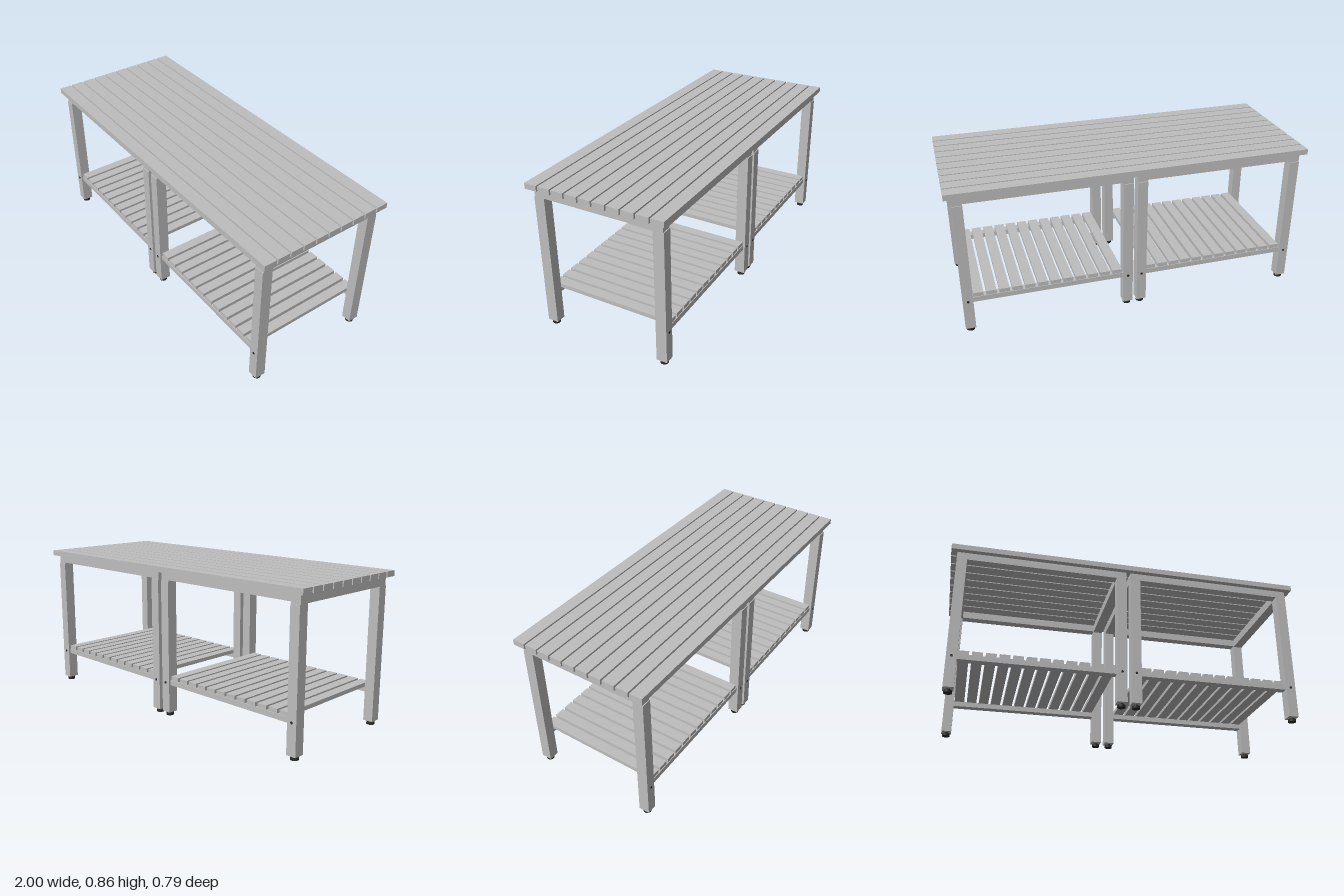
import * as THREE from 'three';

const steel = new THREE.MeshStandardMaterial({ color: 0xbebebe });
steel.name = 'lightGrey';
const rubber = new THREE.MeshStandardMaterial({ color: 0x2a2a2a });
rubber.name = 'blackRubber';

// Box given by its extents on each axis
function block(parent, name, [x0, x1], [y0, y1], [z0, z1], material = steel) {
  const mesh = new THREE.Mesh(new THREE.BoxGeometry(x1 - x0, y1 - y0, z1 - z0), material);
  mesh.position.set((x0 + x1) / 2, (y0 + y1) / 2, (z0 + z1) / 2);
  mesh.name = name;
  parent.add(mesh);
}

function disc(parent, name, radius, height, x, y, z, sides = 24) {
  const mesh = new THREE.Mesh(new THREE.CylinderGeometry(radius, radius, height, sides), rubber);
  mesh.position.set(x, y, z);
  mesh.name = name;
  parent.add(mesh);
  return mesh;
}

// Square leg with its levelling foot and the bolt holding the shelf rail
function addLeg(parent, x, side) {
  const leg = new THREE.Group();
  leg.name = 'leg';
  const z = side * 0.34;
  block(leg, 'legPost', [x - 0.028, x + 0.028], [0.023, 0.775], [z - 0.03, z + 0.03]);
  disc(leg, 'footPad', 0.022, 0.014, x, 0.007, z);
  disc(leg, 'footStem', 0.011, 0.012, x, 0.019, z, 12);
  disc(leg, 'bolt', 0.007, 0.003, x, 0.197, side * 0.371, 12).rotation.x = Math.PI / 2;
  parent.add(leg);
}

// One bay spanning x = 0.01 to 0.967
function addBay(parent, name, centre) {
  const bay = new THREE.Group();
  bay.name = name;
  bay.position.x = centre;
  const outer = 0.477, legX = 0.449, inner = 0.421;

  for (const side of [-1, 1]) {
    for (const end of [-1, 1]) addLeg(bay, end * legX, side);
    // Long rails under the top and under the shelf
    const zTop = side * 0.34, zShelf = side * 0.337;
    block(bay, 'topLongRail', [-inner, inner], [0.783, 0.825], [zTop - 0.025, zTop + 0.025]);
    block(bay, 'shelfRail', [-inner, inner], [0.185, 0.214], [zShelf - 0.022, zShelf + 0.022]);
    // Cross rails resting on the legs
    const xs = side * legX;
    block(bay, 'topCrossRail', [xs - 0.028, xs + 0.028], [0.775, 0.825], [-0.365, 0.365]);
  }

  // Shelf slats running front to back
  const count = 12, width = 0.056, pitch = (2 * (inner - 0.003) - width) / (count - 1);
  for (let i = 0; i < count; i++) {
    const x = -inner + 0.003 + i * pitch;
    block(bay, 'shelfSlat', [x, x + width], [0.214, 0.237], [-0.355, 0.355]);
  }
  parent.add(bay);
}

export function createModel() {
  const bench = new THREE.Group();
  bench.name = 'slattedBench';

  addBay(bench, 'rightBay', -0.49);
  addBay(bench, 'leftBay', 0.488);

  // Long seat slats across both bays
  const seat = new THREE.Group();
  seat.name = 'seat';
  for (let i = 0; i < 10; i++) {
    const z = -0.393 + i * 0.0795;
    block(seat, 'seatSlat', [-1, 1], [0.826, 0.857], [z, z + 0.0705]);
  }
  bench.add(seat);
  return bench;
}
